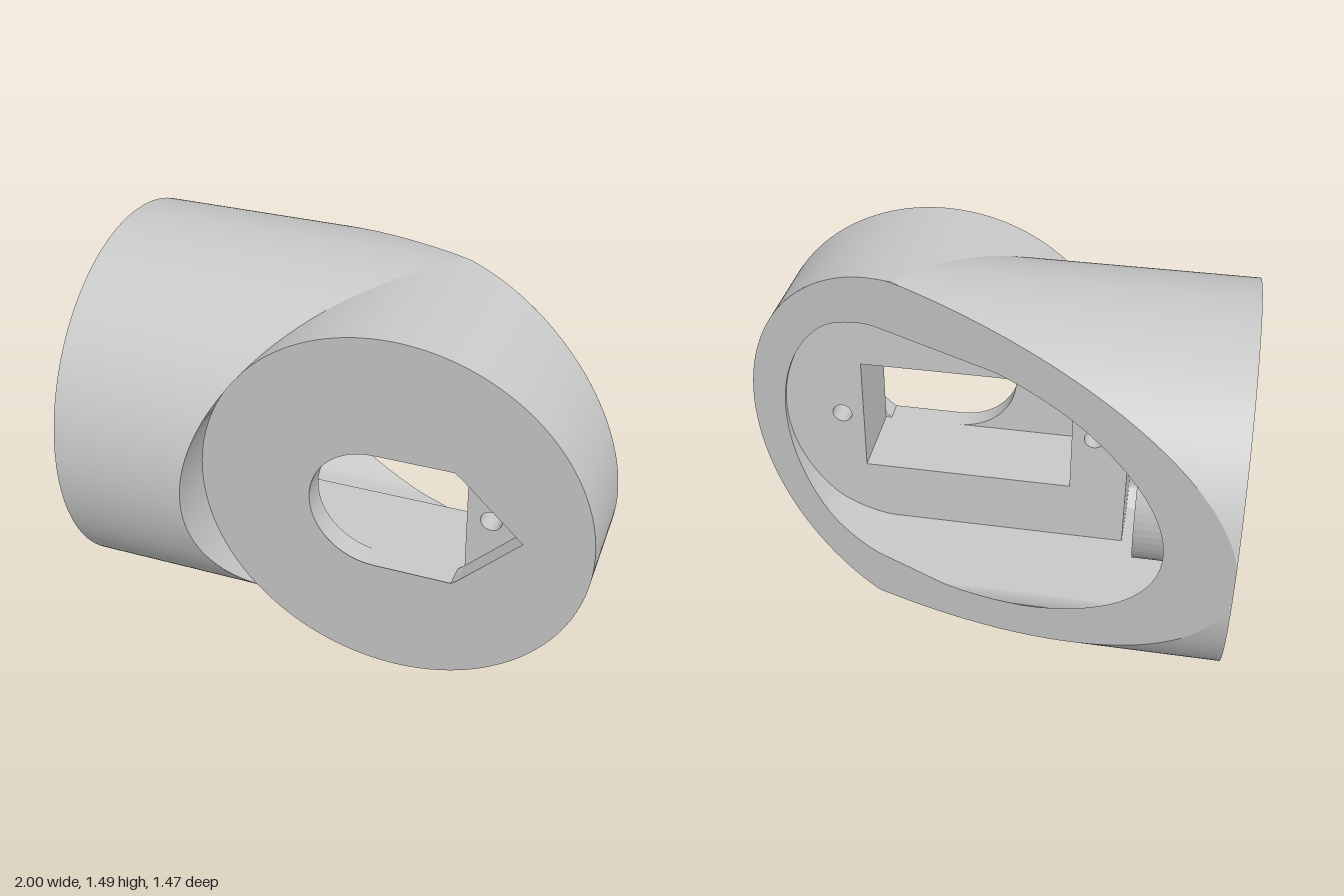
import * as THREE from 'three';

const CY = 0.755;                 // height of both axes
const R = 0.735;                  // outer radius
const BX = 0.255, BR = 0.745;     // front barrel centre and half width
const TILT = 0.033;               // slight droop of the front barrel
const LEAN = 0.085;               // forward lean of the rear cut
const FLOOR = 0.11, LEDGE = 0.455, STEP = -0.57;
const RI = 0.62, RB = 0.585, FLAT = 0.525;   // cavity radii and flat height
const N = 128;

const grey = new THREE.MeshStandardMaterial({ color: 0xc8c8c8, side: THREE.DoubleSide });
grey.name = 'grey';

const root = (v) => Math.sqrt(Math.max(0, v));
const V2 = (x, y) => new THREE.Vector2(x, y);
// Slanted rear cut, with dy measured from the axis
const backZ = (x, dy) => -0.285 + 0.45 * x + LEAN * dy;
const backX = (z, dy) => Math.max(-1, (z + 0.285 - LEAN * dy) / 0.45);

export function createModel() {
  const group = new THREE.Group();

  function add(name, geo) {
    const m = new THREE.Mesh(geo, grey);
    m.name = name;
    group.add(m);
    return m;
  }

  // Ruled surface through rows of two points each
  function ruled(name, rows) {
    const idx = [];
    for (let i = 0; i + 1 < rows.length; i++) {
      const a = i * 2;
      idx.push(a, a + 1, a + 2, a + 1, a + 3, a + 2);
    }
    const g = new THREE.BufferGeometry();
    g.setAttribute('position', new THREE.Float32BufferAttribute(rows.flat(2), 3));
    g.setIndex(idx);
    g.computeVertexNormals();
    return add(name, g);
  }

  // Flat face from an outline with holes, with z given by a rule
  function face(name, outline, holes, zRule) {
    const s = new THREE.Shape(outline);
    s.holes = holes.map((h) => new THREE.Path(h));
    const g = new THREE.ShapeGeometry(s);
    const p = g.attributes.position;
    for (let i = 0; i < p.count; i++) p.setZ(i, zRule(p.getX(i), p.getY(i)));
    g.computeVertexNormals();
    return add(name, g);
  }

  // Straight flat-sided or round wall around a closed outline
  function wall(name, pts, z0, z1, smooth) {
    const rows = [...pts, pts[0]].map((p) => [[p.x, p.y, z0], [p.x, p.y, z1]]);
    const m = ruled(name, rows);
    if (!smooth) {
      m.geometry = m.geometry.toNonIndexed();
      m.geometry.computeVertexNormals();
    }
  }

  const span = (n, f) => Array.from({ length: n + 1 }, (_, i) => f(i / n));
  const ring = (cx, cy, rx, ry, n = N) => span(n - 1, (u) => {
    const t = u * (n - 1) / n * Math.PI * 2;
    return V2(cx + rx * Math.cos(t), cy + ry * Math.sin(t));
  });
  const arcPts = (r, a, b, n = 24) => span(n, (u) => {
    const t = a + (b - a) * u;
    return V2(r * Math.cos(t), r * Math.sin(t));
  });

  // Side barrel, ending where it meets the front barrel or the rear cut
  const droop = (z) => TILT * Math.max(0, z);
  const rim = [];
  ruled('sideBarrel', span(N * 2, (u) => {
    const t = u * Math.PI * 2, dy = R * Math.sin(t), z = R * Math.cos(t);
    const meet = BX - Math.sign(z) * BR * root(1 - ((dy + droop(z)) / R) ** 2);
    const cut = backX(z, dy);
    if (cut < meet) rim.push(V2(cut, CY + dy));
    return [[-1, CY + dy, z], [Math.min(meet, cut), CY + dy, z]];
  }));

  // Front barrel, whose left part becomes the hollow cut into the side barrel
  const frontZ = (x, y) => 0.545 + 0.027 * (y - 0.737);
  ruled('frontBarrel', span(N * 2, (u) => {
    const t = (u - 0.5) * Math.PI * 2, x = BX + BR * Math.cos(t), dy = R * Math.sin(t);
    const z0 = (BX - x) * R / BR;
    const meet = Math.sign(z0) * root(R * R - (dy - droop(z0)) ** 2);
    const cut = backZ(x, dy);
    const z = Math.max(meet, cut);
    if (cut > meet) rim.push(V2(x, CY + dy - droop(z)));
    return [[x, 0.737 + dy, frontZ(x, 0.737 + dy)], [x, CY + dy - droop(z), z]];
  }));

  // Cavity limits at a height dy from the axis, rounded towards the flats
  const inset = (dy) => {
    const u = Math.max(0, (Math.abs(dy) - FLAT + 0.1) / 0.1);
    return 0.055 * (1 - root(1 - u * u));
  };
  const rearZ = (dy) => -root(RI * RI - dy * dy) + inset(dy);
  const wallZ = (dy) => Math.min(0.41, root(RI * RI - dy * dy));
  const leftX = (dy) => backX(rearZ(dy), dy);
  const rightX = (dy) => BX + root(RB * RB - dy * dy) - 2 * inset(dy);
  const rightZ = (dy) => backZ(rightX(dy), dy);
  const heights = span(64, (u) => FLAT * Math.sin((u - 0.5) * Math.PI));
  const outlineOf = (lo, hi) => [
    ...heights.map((d) => V2(hi(d), CY + d)),
    ...heights.map((d) => V2(lo(-d), CY - d)),
  ];

  // Slanted rear rim
  face('rearRim', rim, [outlineOf(leftX, rightX)], (x, y) => backZ(x, y - CY));

  // Ring at the open side end
  face('sideRim', ring(0, CY, R, R), [outlineOf(rearZ, wallZ)], () => 0)
    .geometry.rotateY(-Math.PI / 2).translate(-1, 0, 0);

  // Cavity walls
  const walls = {
    cavityRear: (d) => [[-1, rearZ(d)], [leftX(d), rearZ(d)]],
    cavityFront: (d) => [[-1, wallZ(d)], [STEP, wallZ(d)]],
    cavityStep: (d) => [[STEP, wallZ(d)], [STEP, FLOOR]],
    cavityRight: (d) => [[rightX(d), FLOOR], [rightX(d), rightZ(d)]],
  };
  for (const [name, f] of Object.entries(walls)) {
    ruled(name, heights.map((d) => f(d).map(([x, z]) => [x, CY + d, z])));
  }
  for (const d of [-FLAT, FLAT]) {
    const pts = [[-1, rearZ(d)], [-1, wallZ(d)], [STEP, wallZ(d)], [STEP, FLOOR],
      [rightX(d), FLOOR], [rightX(d), rightZ(d)], [leftX(d), rearZ(d)]];
    const g = new THREE.ShapeGeometry(new THREE.Shape(pts.map(([x, z]) => V2(x, z))));
    g.rotateX(Math.PI / 2).translate(0, CY + d, 0);
    add(d > 0 ? 'cavityTop' : 'cavityBottom', g);
  }

  // Mounting floor with motor pocket and screw holes
  const pocket = [V2(-0.34, 0.49), V2(0.515, 0.49), V2(0.515, 0.99), V2(-0.34, 0.99)];
  const screwA = ring(0.605, 0.74, 0.04, 0.04, 24), screwB = ring(-0.43, 0.74, 0.04, 0.04, 24);
  face('mountFloor', outlineOf(() => STEP, rightX), [pocket, screwA, screwB], () => FLOOR);
  wall('pocketWalls', pocket, FLOOR, LEDGE, false);
  wall('screwHoleRight', screwA, FLOOR, LEDGE, true);
  wall('screwHoleLeft', screwB, FLOOR, 0.35, true);
  face('screwHoleEnd', screwB, [], () => 0.35);

  // Front plate with rounded opening and pointed recess
  const arc = arcPts(0.25, Math.PI / 2, Math.PI * 1.5, 32).map((p) => V2(p.x + 0.19, p.y + 0.74));
  const opening = [...arc, V2(0.49, 0.49), V2(0.515, 0.51), V2(0.745, 0.74), V2(0.515, 0.97), V2(0.49, 0.99)];
  face('frontFace', ring(BX, 0.737, BR, R, N * 2), [opening], frontZ);
  wall('openingWalls', opening, LEDGE, 0.545, false);
  face('pocketLedge', [...arc, V2(-0.34, 0.49), V2(-0.34, 0.99)], [], () => LEDGE);
  face('recessFloor', [V2(0.515, 0.51), V2(0.745, 0.74), V2(0.515, 0.97)], [screwA], () => LEDGE);

  // Horn holder: slabs drawn in (z, y) and thickened towards -x
  function slab(name, outline, holes, x, depth) {
    const s = new THREE.Shape(outline);
    s.holes = holes.map((h) => new THREE.Path(h));
    const g = new THREE.ExtrudeGeometry(s, { depth, bevelEnabled: false });
    add(name, g.rotateY(-Math.PI / 2).translate(x, CY, 0));
  }
  const disc = ring(0, 0, 0.385, 0.385, 64);
  const lobes = ring(0, 0, 1, 1, 96).map((p) => {
    const d = 0.173, r = 0.137, side = d * Math.abs(p.x);
    const far = side < r ? d * Math.abs(p.y) + root(r * r - side * side) : 0;
    return p.multiplyScalar(Math.max(0.1, far));
  });
  slab('hornDiscFace', disc, [lobes], -0.63, 0.05);
  slab('hornDisc', disc, [ring(0, 0, 0.1, 0.1, 40), ring(0, 0.173, 0.05, 0.05, 24),
    ring(0, -0.173, 0.05, 0.05, 24)], -0.68, 0.08);

  // Cheeks beside the slot, notched around the hub
  const a0 = Math.acos(0.15 / 0.385), a1 = Math.acos(0.15 / 0.2);
  slab('hornCheek', [
    ...arcPts(0.385, Math.PI - a0, Math.PI + a0),
    ...arcPts(0.2, Math.PI + a1, Math.PI - a1, 12),
  ], [], -0.76, 0.16);
  slab('hornSupport', [
    V2(0.15, -0.4), V2(0.25, -0.4), V2(0.31, -0.33), V2(0.31, 0.33), V2(0.25, 0.4), V2(0.15, 0.4),
    ...arcPts(0.2, a1, -a1, 12),
  ], [], -0.63, 0.29);
  slab('hornBridge', [V2(0.3, -0.33), V2(0.42, -0.33), V2(0.42, 0.33), V2(0.3, 0.33)], [], STEP, 0.12);

  return group;
}
